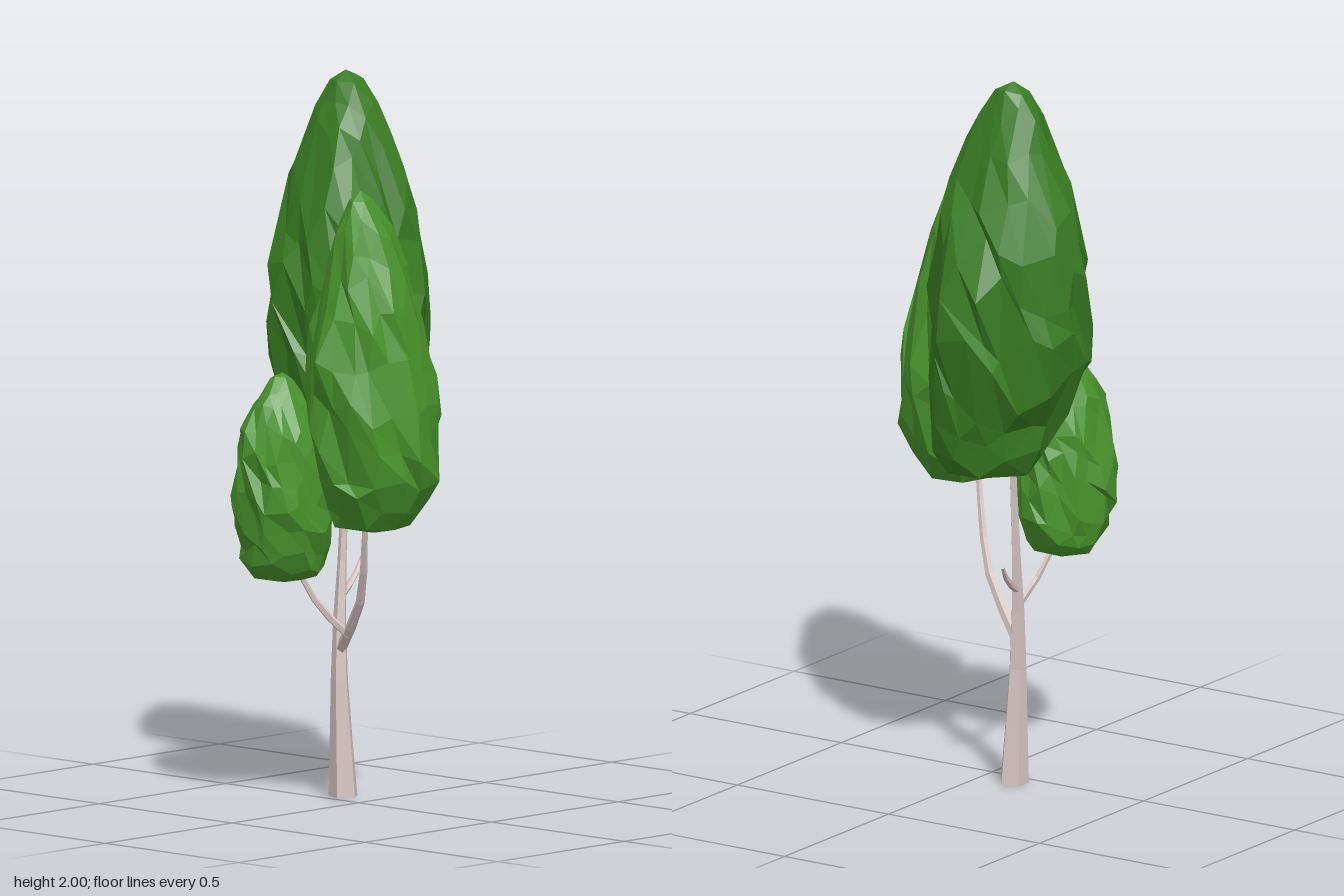
import * as THREE from 'three';
import { mergeVertices } from 'three/addons/utils/BufferGeometryUtils.js';

const bark = new THREE.MeshStandardMaterial({ color: 0xd6c5c2, flatShading: true });
const leafDark = new THREE.MeshStandardMaterial({ color: 0x397d22, flatShading: true });
const leafLight = new THREE.MeshStandardMaterial({ color: 0x48932b, flatShading: true });

// Small seeded generator
function seeded(seed) {
  let s = seed;
  return () => (s = (s * 16807) % 2147483647) / 2147483647;
}

// Interpolate rows [height, centreX, centreZ, radiusX, radiusZ] at a height
function sampleRows(rows, h) {
  let i = 0;
  while (i < rows.length - 2 && h > rows[i + 1][0]) i++;
  const a = rows[i], b = rows[i + 1];
  const t = THREE.MathUtils.clamp((h - a[0]) / (b[0] - a[0]), 0, 1);
  return a.map((v, k) => v + (b[k] - v) * t);
}

// Faceted leaf clump: an icosphere fitted to the rows, twisted and roughened
function clump(name, rows, material, seed) {
  const rand = seeded(seed);
  let geo = new THREE.IcosahedronGeometry(1, 3);
  geo.deleteAttribute('normal');
  geo.deleteAttribute('uv');
  geo = mergeVertices(geo, 1e-3);
  const p = geo.attributes.position;
  const bottom = rows[0][0], top = rows[rows.length - 1][0];
  for (let i = 0; i < p.count; i++) {
    const x = p.getX(i), y = p.getY(i), z = p.getZ(i);
    const t = (y + 1) / 2;
    const ends = Math.min(1, 6 * t * (1 - t));
    const h = bottom + (top - bottom) * t + (rand() - 0.5) * 0.11 * (top - bottom) * ends;
    const [, cx, cz, rx, rz] = sampleRows(rows, h);
    const len = Math.hypot(x, z);
    const r = (len / Math.max(len, 0.3)) * (0.88 + 0.23 * rand());
    const a = Math.atan2(x, z) - 1.5 * t + (rand() - 0.5) * 0.2;
    p.setXYZ(i, cx + Math.sin(a) * rx * r, h, cz + Math.cos(a) * rz * r);
  }
  geo = geo.toNonIndexed();
  geo.computeVertexNormals();
  const mesh = new THREE.Mesh(geo, material);
  mesh.name = name;
  return mesh;
}

// Tapered limb along a curve; radii are spaced evenly along its length
function limb(name, points, radii, sides) {
  const curve = new THREE.CatmullRomCurve3(points.map(q => new THREE.Vector3(...q)));
  const n = radii.length - 1;
  const geo = new THREE.TubeGeometry(curve, n, 1, sides);
  const p = geo.attributes.position, v = new THREE.Vector3();
  for (let i = 0; i < p.count; i++) {
    const ring = Math.floor(i / (sides + 1));
    const c = curve.getPointAt(ring / n);
    v.fromBufferAttribute(p, i).sub(c).multiplyScalar(radii[ring]).add(c);
    p.setXYZ(i, v.x, Math.max(0, v.y), v.z);
  }
  const flat = geo.toNonIndexed();
  flat.computeVertexNormals();
  const mesh = new THREE.Mesh(flat, bark);
  mesh.name = name;
  return mesh;
}

export function createModel() {
  const tree = new THREE.Group();
  tree.name = 'tree';

  // Trunk and its underside
  tree.add(limb('trunk',
    [[-0.107, 0, -0.054], [-0.113, 0.4, -0.043], [-0.12, 0.62, -0.06], [-0.115, 0.97, -0.075]],
    [0.042, 0.033, 0.025, 0.019, 0.013, 0.011, 0.009], 5));
  const base = new THREE.Mesh(new THREE.CircleGeometry(0.038, 5), bark);
  base.name = 'trunkBase';
  base.rotation.x = Math.PI / 2;
  base.position.set(-0.107, 0.001, -0.054);
  tree.add(base);

  // Branches
  tree.add(limb('leftBranch',
    [[-0.112, 0.405, -0.045], [-0.06, 0.46, -0.02], [-0.005, 0.52, 0], [0.055, 0.64, 0.04], [0.11, 0.84, 0.09]],
    [0.016, 0.015, 0.013, 0.011, 0.009, 0.008], 5));
  tree.add(limb('frontBranch',
    [[-0.06, 0.452, -0.025], [-0.085, 0.5, 0.02], [-0.108, 0.56, 0.065], [-0.14, 0.68, 0.12]],
    [0.012, 0.011, 0.009, 0.008, 0.007], 5));
  tree.add(limb('backTwig',
    [[-0.12, 0.55, -0.055], [-0.135, 0.595, -0.125], [-0.15, 0.645, -0.17]],
    [0.011, 0.01, 0.008, 0.005], 5));

  // Leaf clumps
  tree.add(clump('tallFoliage', [
    [0.88, -0.07, -0.145, 0.11, 0.10],
    [0.97, -0.07, -0.12, 0.165, 0.155],
    [1.1, -0.09, -0.095, 0.2, 0.2],
    [1.32, -0.115, -0.085, 0.235, 0.23],
    [1.48, -0.112, -0.09, 0.215, 0.215],
    [1.66, -0.12, -0.085, 0.18, 0.16],
    [1.82, -0.115, -0.08, 0.122, 0.105],
    [1.94, -0.118, -0.08, 0.08, 0.055],
    [2.0, -0.125, -0.08, 0.03, 0.035],
  ], leafDark, 4127));
  tree.add(clump('leftFoliage', [
    [0.775, 0.165, 0.115, 0.085, 0.09],
    [0.84, 0.165, 0.11, 0.14, 0.135],
    [0.94, 0.17, 0.105, 0.172, 0.168],
    [1.1, 0.163, 0.11, 0.168, 0.188],
    [1.25, 0.155, 0.118, 0.168, 0.19],
    [1.42, 0.148, 0.12, 0.13, 0.135],
    [1.56, 0.148, 0.125, 0.09, 0.10],
    [1.66, 0.145, 0.135, 0.05, 0.06],
    [1.72, 0.145, 0.145, 0.015, 0.02],
  ], leafLight, 9311));
  tree.add(clump('frontFoliage', [
    [0.61, -0.14, 0.145, 0.07, 0.065],
    [0.66, -0.137, 0.145, 0.11, 0.11],
    [0.76, -0.133, 0.158, 0.135, 0.138],
    [0.88, -0.133, 0.165, 0.13, 0.138],
    [1.0, -0.13, 0.17, 0.108, 0.128],
    [1.1, -0.135, 0.165, 0.07, 0.085],
    [1.19, -0.14, 0.155, 0.02, 0.025],
  ], leafLight, 2671));

  return tree;
}
